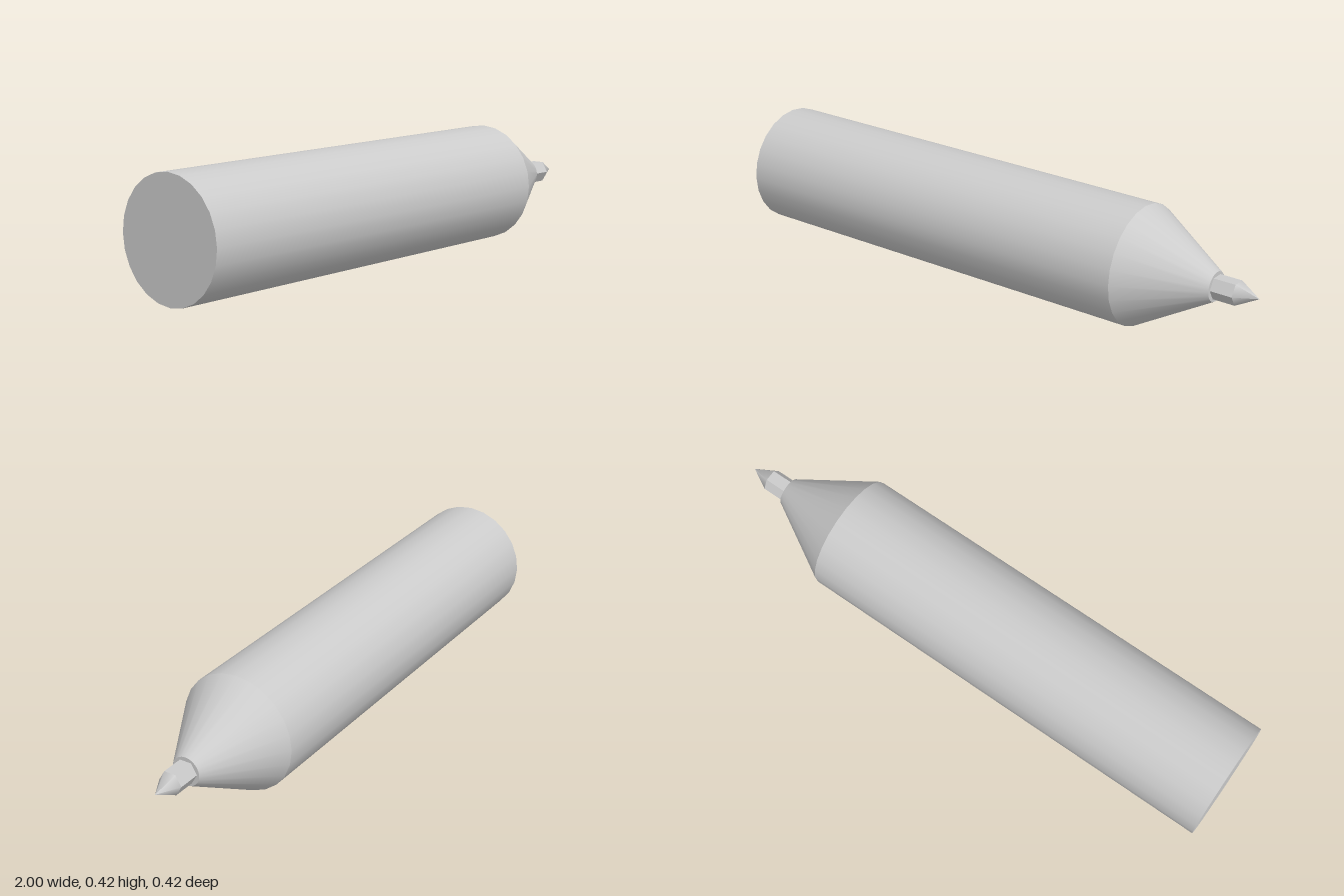
import * as THREE from 'three';

const RADIUS = 0.209;

export function createModel() {
  const model = new THREE.Group();
  const smooth = new THREE.MeshStandardMaterial({ color: 0xcccccc });
  const faceted = new THREE.MeshStandardMaterial({ color: 0xcccccc, flatShading: true });

  // A section along the x axis, from x0 (radius r0) to x1 (radius r1)
  function section(name, x0, x1, r0, r1, sides, material, open = false) {
    const geometry = new THREE.CylinderGeometry(r1, r0, x1 - x0, sides, 1, open);
    geometry.rotateZ(-Math.PI / 2);
    const mesh = new THREE.Mesh(geometry, material);
    mesh.name = name;
    mesh.position.set((x0 + x1) / 2, RADIUS, 0);
    model.add(mesh);
  }

  // Barrel, closed at the back end
  section('barrel', -1, 0.57, RADIUS, RADIUS, 24, smooth);
  // Tapered nose with a flat end
  section('nose', 0.57, 0.845, RADIUS, 0.051, 24, smooth);
  // Hexagonal shaft and its pointed tip
  section('tipShaft', 0.845, 0.924, 0.042, 0.042, 6, faceted, true);
  section('tipPoint', 0.924, 1, 0.042, 0, 6, smooth, true);

  return model;
}
